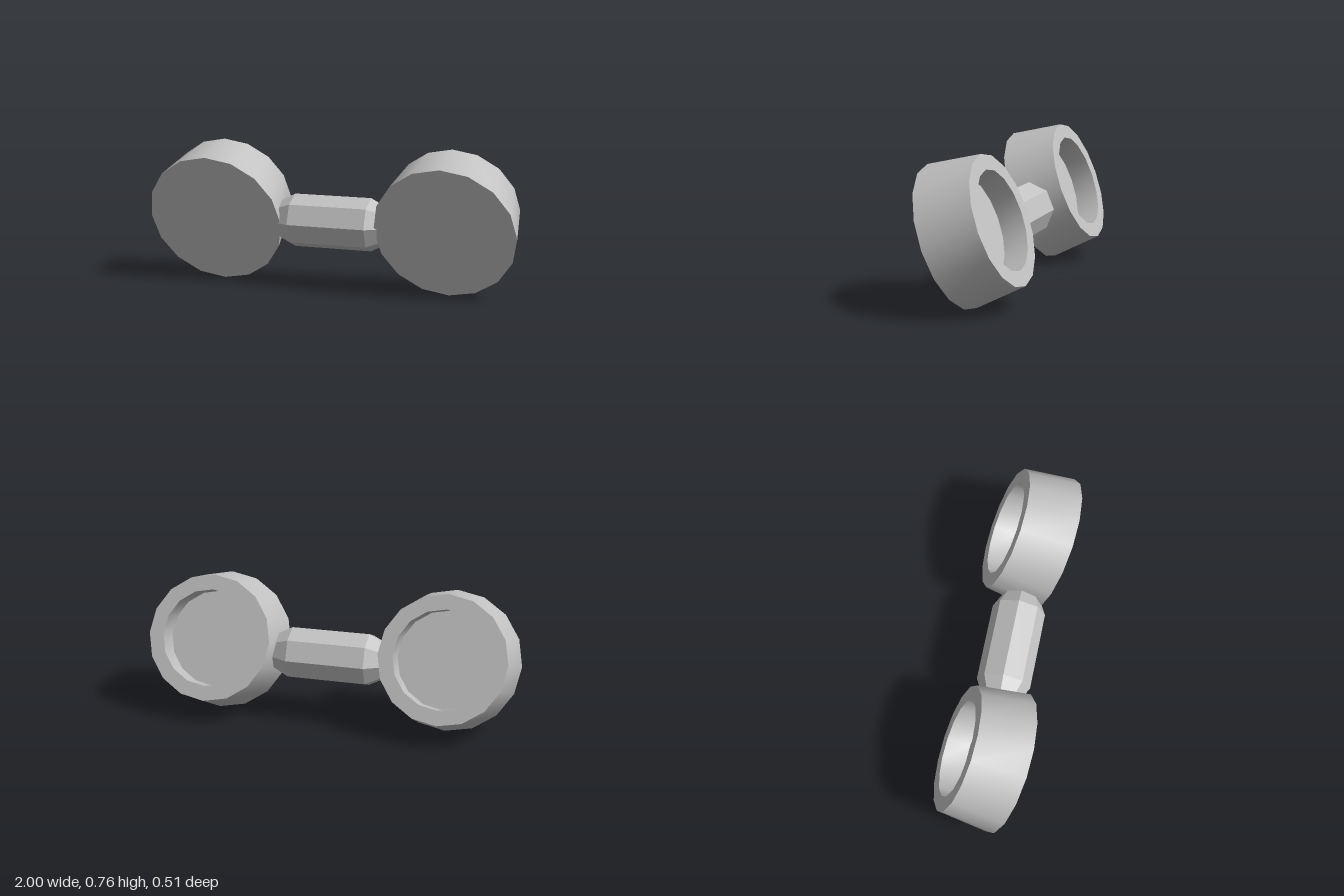
import * as THREE from 'three';
import { toCreasedNormals } from 'three/addons/utils/BufferGeometryUtils.js';

// Solid of revolution whose edges sharper than the crease angle stay hard
function turned(profile, sides, crease) {
  const points = profile.map(([r, y]) => new THREE.Vector2(r, y));
  return toCreasedNormals(new THREE.LatheGeometry(points, sides), crease);
}

export function createModel() {
  const model = new THREE.Group();
  const grey = new THREE.MeshStandardMaterial({ color: 0xc2c2c2 });
  grey.name = 'lightGrey';

  // Tapered cups: closed flat front, recessed back, leaning forward by 20 degrees
  const cupGeometry = turned([
    [0, 0], [0.3725, 0], [0.336, 0.284],
    [0.257, 0.284], [0.257, 0.154], [0, 0.154],
  ], 16, 0.6);
  for (const [name, side] of [['leftCup', 1], ['rightCup', -1]]) {
    const cup = new THREE.Mesh(cupGeometry, grey);
    cup.name = name;
    cup.position.set(0.6275 * side, 0.35, 0.1275);
    cup.rotation.x = THREE.MathUtils.degToRad(-70);
    model.add(cup);
  }

  // Octagonal bridge with tapered ends sunk into the cups
  const bridge = new THREE.Mesh(turned([
    [0, -0.33], [0.08, -0.33], [0.1425, -0.21],
    [0.1425, 0.21], [0.08, 0.33], [0, 0.33],
  ], 8, 0.1), grey);
  bridge.name = 'bridge';
  bridge.rotation.z = Math.PI / 2;
  bridge.position.set(0, 0.351, 0.0175);
  model.add(bridge);

  return model;
}
